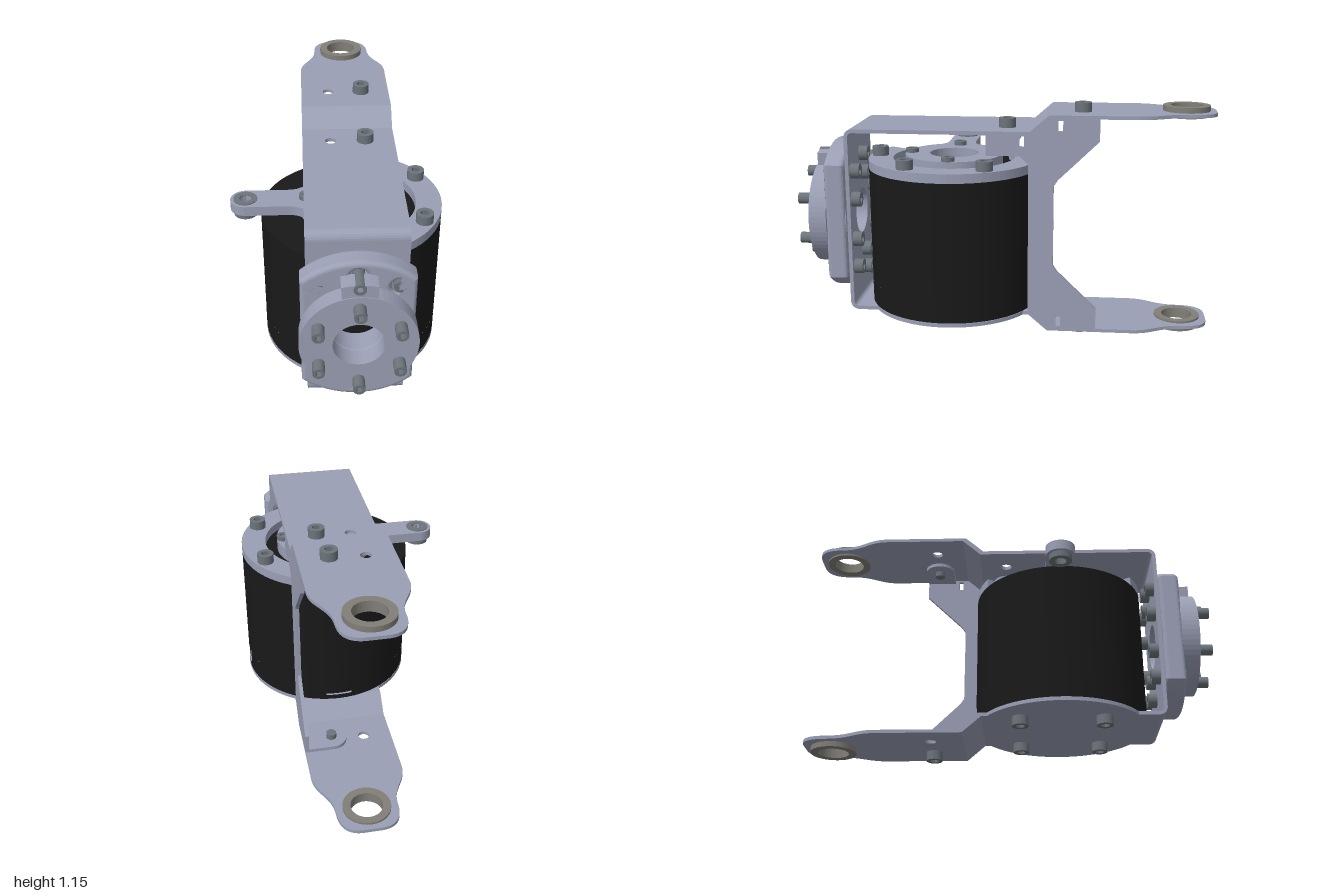
import * as THREE from 'three';

const mat = (c) => new THREE.MeshStandardMaterial({ color: c, side: THREE.DoubleSide });
const CX = 0.07, CY = 0.575, MZ = 0.26, HW = 0.221; // joint axis, mid height, motor axis, half width

export function createModel() {
  const root = new THREE.Group();
  const metal = mat(0x9a9fb5), black = mat(0x191919), steel = mat(0x6c757b), bronze = mat(0x827f78);

  const add = (name, geo, m, x = 0, y = 0, z = 0) => {
    const mesh = new THREE.Mesh(geo, m);
    mesh.name = name;
    mesh.position.set(x, y, z);
    root.add(mesh);
    return mesh;
  };
  const poly = (pts) => new THREE.Shape(pts.map(([a, b]) => new THREE.Vector2(a, b)));
  const disc = (x, y, r) => new THREE.Shape().absarc(x, y, r, 0, Math.PI * 2);
  const hole = (s, x, y, r) => { s.holes.push(new THREE.Path().absarc(x, y, r, 0, Math.PI * 2, true)); return s; };
  const ext = (s, depth, bevel = 0) => new THREE.ExtrudeGeometry(s, {
    depth: depth - bevel, curveSegments: 32, bevelEnabled: bevel > 0,
    bevelSize: bevel, bevelThickness: bevel, bevelOffset: -bevel, bevelSegments: 4,
  });
  // plates drawn in (x,z), (z,y) and (x,y), lying between two levels
  const plateY = (name, s, y0, y1, m = metal) => add(name, ext(s, Math.abs(y1 - y0)).rotateX(Math.PI / 2), m, 0, Math.max(y0, y1), 0);
  const plateX = (name, s, x0, x1, m = metal) => add(name, ext(s, x1 - x0).rotateY(-Math.PI / 2), m, x1, 0, 0);
  const plateZ = (name, s, z0, z1, m = metal, bevel = 0) => add(name, ext(s, z1 - z0, bevel), m, 0, 0, z0);

  // cap screw with a hex socket, base at p and head growing along dir
  const Z = new THREE.Vector3(0, 0, 1);
  const screw = (name, x, y, z, dir, r = 0.04, h = 0.045) => {
    const g = new THREE.Group();
    const s = disc(0, 0, r);
    s.holes.push(new THREE.Path(Array.from({ length: 6 }, (_, i) =>
      new THREE.Vector2(Math.cos(i * Math.PI / 3), -Math.sin(i * Math.PI / 3)).multiplyScalar(r * 0.55))));
    g.add(new THREE.Mesh(ext(s, h), steel));
    g.add(new THREE.Mesh(new THREE.CylinderGeometry(r * 0.7, r * 0.7, h * 0.5, 20).rotateX(Math.PI / 2).translate(0, 0, h * 0.25), steel));
    g.name = name;
    g.position.set(x, y, z);
    g.quaternion.setFromUnitVectors(Z, new THREE.Vector3(...dir));
    root.add(g);
  };

  // ---- motor: black can with three small windows near the base
  const can = (y0, y1, a = 0, len = Math.PI * 2, open = true) => add('motorCan',
    new THREE.CylinderGeometry(0.42, 0.42, y1 - y0, 64, 1, open, a, len), black, CX, (y0 + y1) / 2, MZ);
  const w = 0.155, q = Math.PI / 2;
  can(0.25, 0.818, 0, Math.PI * 2, false);
  can(0.145, 0.17);
  can(0.17, 0.25, w, q - 2 * w);
  can(0.17, 0.25, q + w, q - 2 * w);
  can(0.17, 0.25, 2 * q + w, 2 * q - 2 * w);
  add('motorCore', new THREE.CylinderGeometry(0.375, 0.375, 0.13, 48), black, CX, 0.205, MZ);

  // partial clamp ring on top with its screws
  const e = 2.12;
  const ring = new THREE.Shape().absarc(CX, MZ, 0.42, -e, e, false).absarc(CX, MZ, 0.3, e, -e, true);
  plateY('clampRing', ring, 0.818, 0.862);
  for (const a of [-90, -30, 30, 90].map(THREE.MathUtils.degToRad))
    screw('clampScrew', CX + 0.37 * Math.cos(a), 0.862, MZ + 0.37 * Math.sin(a), [0, 1, 0]);

  // hub with side arm and lug
  plateY('hub', hole(disc(CX, MZ, 0.24), CX, MZ, 0.12), 0.818, 0.88);
  const arm = new THREE.Shape();
  arm.moveTo(-0.1, MZ - 0.16).quadraticCurveTo(-0.15, MZ - 0.07, -0.22, MZ - 0.07);
  arm.lineTo(-0.42, MZ - 0.07).absarc(-0.42, MZ, 0.07, -q, q, true);
  arm.lineTo(-0.22, MZ + 0.07).quadraticCurveTo(-0.15, MZ + 0.07, -0.1, MZ + 0.16);
  plateY('sideArm', hole(arm, -0.42, MZ, 0.028), 0.832, 0.88);
  plateY('lugBoss', hole(disc(-0.42, MZ, 0.055), -0.42, MZ, 0.028), 0.803, 0.884, steel);
  for (let i = 0; i < 4; i++)
    screw('hubScrew', CX + 0.21 * Math.cos(i * q), 0.88, MZ + 0.21 * Math.sin(i * q), [0, 1, 0], 0.032, 0.02);

  // ---- U bracket: front plate, then both arms mirrored about the mid height
  const x0 = CX - HW, x1 = CX + HW;
  const front = poly([[x0, 0.165], [x1, 0.165], [x1, 0.985], [x0, 0.985]]);
  plateZ('bracketFront', hole(front, CX, CY, 0.112), 0.737, 0.755);

  for (const s of [1, -1]) {
    const Y = (y) => CY + s * (y - CY);
    const side = s > 0 ? 'upper' : 'lower';
    // rounded bend
    const bend = [];
    for (let i = 0; i <= 6; i++) bend.push([0.715 + 0.04 * Math.cos(i * q / 6), Y(0.985 + 0.04 * Math.sin(i * q / 6))]);
    for (let i = 6; i >= 0; i--) bend.push([0.715 + 0.022 * Math.cos(i * q / 6), Y(0.985 + 0.022 * Math.sin(i * q / 6))]);
    plateX(side + 'Bend', poly(bend), x0, x1);
    // flat part; the lower one widens into the motor's base disc
    let flat = poly([[x0, 0.715], [x1, 0.715], [x1, -0.13], [x0, -0.13]]);
    if (s < 0) {
      const a = Math.acos(HW / 0.42);
      flat = new THREE.Shape().moveTo(x0, 0.715).lineTo(x1, 0.715).absarc(CX, MZ, 0.42, a, -a, true);
      flat.lineTo(x1, -0.13).lineTo(x0, -0.13).absarc(CX, MZ, 0.42, Math.PI + a, Math.PI - a, true);
    } else hole(flat, -0.015, -0.01, 0.027);
    plateY(side + 'Flat', flat, Y(1.007), Y(1.025));
    // joggle
    plateX(side + 'Joggle', poly([[-0.125, Y(1.007)], [-0.125, Y(1.025)], [-0.215, Y(1.104)], [-0.23, Y(1.104)], [-0.23, Y(1.088)], [-0.14, Y(1.007)]]), x0, x1);
    // tapered tip with eye and bushing
    const tip = new THREE.Shape().moveTo(x0, -0.22).lineTo(x0, -0.62);
    tip.bezierCurveTo(x0, -0.73, CX - 0.145, -0.75, CX - 0.145, -0.87);
    tip.quadraticCurveTo(CX - 0.145, -1, CX - 0.04, -1).lineTo(CX + 0.04, -1);
    tip.quadraticCurveTo(CX + 0.145, -1, CX + 0.145, -0.87);
    tip.bezierCurveTo(CX + 0.145, -0.75, x1, -0.73, x1, -0.62).lineTo(x1, -0.22);
    hole(hole(tip, CX, -0.86, 0.085), -0.015, -0.375, 0.027);
    plateY(side + 'Tip', tip, Y(1.088), Y(1.104));
    plateY(side + 'Bushing', hole(disc(CX, -0.86, 0.112), CX, -0.86, 0.075), Y(1.078), Y(1.13), bronze);
    screw(side + 'TipScrew', 0.15, Y(1.104), -0.37, [0, s, 0]);
    // folded tab with nut inside the tip
    const tab = (z, y) => {
      const t = new THREE.Shape().moveTo(x1, z - 0.075).lineTo(0.15, z - 0.075);
      t.absarc(0.15, z, 0.075, -q, q, true).lineTo(x1, z + 0.075);
      plateY(side + 'Tab', t, Y(y), Y(y - 0.018));
      add(side + 'ScrewEnd', new THREE.CylinderGeometry(0.025, 0.025, 0.03, 20), steel, 0.15, Y(y - 0.03), z);
    };
    tab(-0.375, 1.088);
    if (s > 0) {
      tab(-0.005, 1.007);
      screw('upperFlatScrew', 0.15, 1.025, -0.01, [0, 1, 0]);
    }
  }

  // base screws
  for (const dx of [-0.2, 0.2]) for (const dz of [-0.2, 0.2])
    screw('baseScrew', CX + dx, 0.125, MZ + dz, [0, -1, 0]);

  // one-sided web tying both arms together
  const web = poly([[0.08, 1.008], [-0.13, 1.008], [-0.225, 1.09], [-0.45, 1.09], [-0.45, 0.985], [-0.26, 0.8], [-0.24, 0.77],
    [-0.24, 0.38], [-0.26, 0.35], [-0.45, 0.165], [-0.45, 0.06], [-0.225, 0.06], [-0.12, 0.142], [-0.12, 0.87], [-0.08, 0.91], [0.08, 0.91]]);
  for (const [z, y] of [[-0.1, 0.955], [-0.28, 1.03], [-0.28, 0.07]])
    web.holes.push(new THREE.Path([[z, y], [z, y + 0.05], [z + 0.022, y + 0.05], [z + 0.022, y]].map((p) => new THREE.Vector2(...p))));
  plateX('sideWeb', web, x1 - 0.018, x1);

  // ---- output joint on the front
  const b = Math.acos(0.248 / 0.375);
  const flange = new THREE.Shape().absarc(CX, CY, 0.372, b, Math.PI - b, false).absarc(CX, CY, 0.372, Math.PI + b, -b, false);
  hole(flange, CX, CY, 0.112);
  const outer = [];
  for (const sx of [-1, 1]) for (const sy of [-1, 1]) outer.push([sx * 0.173, sy * 0.24]);
  outer.push([0, 0.295], [0, -0.295]);
  for (const [dx, dy] of outer) hole(flange, CX + dx, CY + dy, 0.038);
  plateZ('outputFlange', flange, 0.775, 0.855, metal, 0.02);
  plateZ('outputSpacer', hole(disc(CX, CY, 0.24), CX, CY, 0.112), 0.755, 0.8);
  plateZ('outputDisc', hole(disc(CX, CY, 0.256), CX, CY, 0.112), 0.85, 0.935);
  // stop tab above the disc
  const stop = new THREE.Shape().absarc(CX, CY, 0.315, q - 0.25, q + 0.25, false).absarc(CX, CY, 0.25, q + 0.3, q - 0.3, true);
  plateZ('stopTab', stop, 0.85, 0.93);

  const inner = Array.from({ length: 6 }, (_, i) => [0.2 * Math.sin(i * Math.PI / 3), 0.2 * Math.cos(i * Math.PI / 3)]);
  for (const [dx, dy] of inner) {
    screw('discScrew', CX + dx, CY + dy, 0.93, [0, 0, 1], 0.027, 0.07);
    screw('innerHead', CX + dx, CY + dy, 0.738, [0, 0, -1], 0.036);
  }
  for (const [dx, dy] of outer) {
    screw('flangeScrew', CX + dx, CY + dy, 0.755, [0, 0, 1], 0.027, dy > 0.29 ? 0.18 : 0.1);
    screw('innerHead', CX + dx, CY + dy, 0.738, [0, 0, -1], 0.036);
  }
  return root;
}
